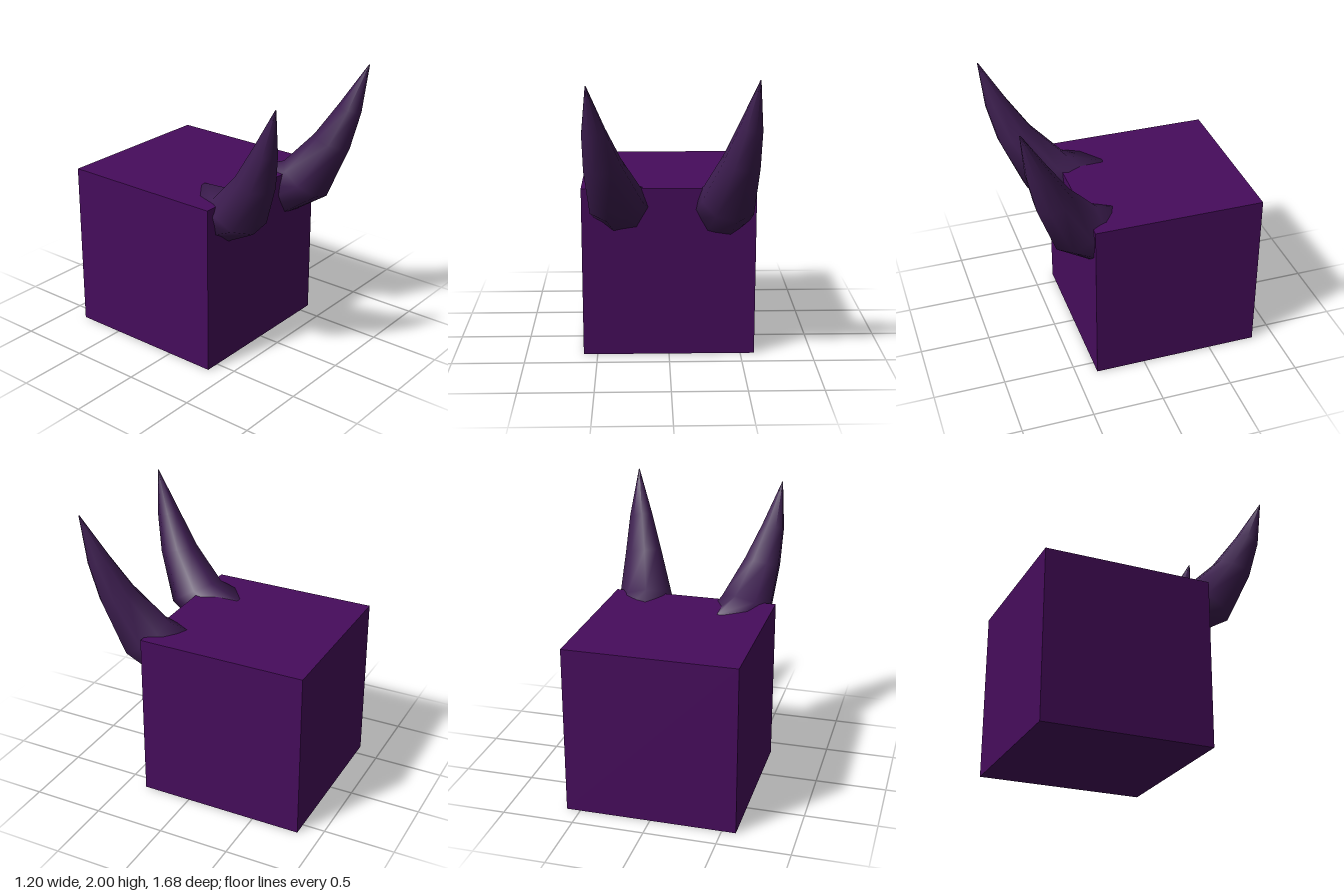
import * as THREE from 'three';

const SIDES = 8;

// Curved horn lofted through tilted rings: [x, y, z, radius, forward tilt, outward roll]
function makeHorn(name, rings, material) {
  const positions = [], indices = [];
  const p = new THREE.Vector3();
  for (const [x, y, z, radius, tilt, roll] of rings) {
    const turn = new THREE.Euler(tilt, 0, roll, 'ZXY');
    for (let i = 0; i < SIDES; i++) {
      const a = ((i + 0.5) / SIDES) * Math.PI * 2;
      p.set(Math.cos(a) * radius, 0, Math.sin(a) * radius).applyEuler(turn);
      positions.push(p.x + x, p.y + y, p.z + z);
    }
  }
  for (let r = 0; r < rings.length - 1; r++) {
    for (let i = 0; i < SIDES; i++) {
      const a = r * SIDES + i, b = r * SIDES + (i + 1) % SIDES;
      const c = a + SIDES, d = b + SIDES;
      indices.push(a, c, b, b, c, d);
    }
  }
  // Close the hidden root
  for (let i = 1; i < SIDES - 1; i++) indices.push(0, i, i + 1);

  const geometry = new THREE.BufferGeometry();
  geometry.setAttribute('position', new THREE.Float32BufferAttribute(positions, 3));
  geometry.setIndex(indices);
  geometry.computeVertexNormals();
  const mesh = new THREE.Mesh(geometry, material);
  mesh.name = name;
  return mesh;
}

export function createModel() {
  const group = new THREE.Group();
  group.name = 'hornedCube';
  const skin = new THREE.MeshStandardMaterial({ color: 0x460c5c });
  const hornMaterial = new THREE.MeshStandardMaterial({ color: 0x3d1d50 });

  // Cube head
  const head = new THREE.Mesh(new THREE.BoxGeometry(1.195, 1.195, 1.19), skin);
  head.name = 'head';
  head.position.set(0, 0.5975, -0.245);
  group.add(head);

  // Horns, slightly different in pose
  group.add(makeHorn('rightHorn', [
    [-0.30, 1.01, 0.12, 0.215, 1.13, 0.15],
    [-0.365, 1.14, 0.435, 0.195, 0.56, 0.22],
    [-0.44, 1.42, 0.62, 0.135, 0.27, 0.15],
    [-0.49, 1.66, 0.73, 0.083, 0.25, 0.12],
    [-0.53, 1.97, 0.835, 0.003, 0.25, 0.1],
  ], hornMaterial));
  group.add(makeHorn('leftHorn', [
    [0.35, 0.97, 0.13, 0.215, 1.1, -0.15],
    [0.40, 1.13, 0.425, 0.195, 0.56, -0.25],
    [0.468, 1.43, 0.595, 0.133, 0.27, -0.18],
    [0.515, 1.68, 0.70, 0.083, 0.25, -0.14],
    [0.56, 2.0, 0.81, 0.003, 0.25, -0.1],
  ], hornMaterial));

  return group;
}
